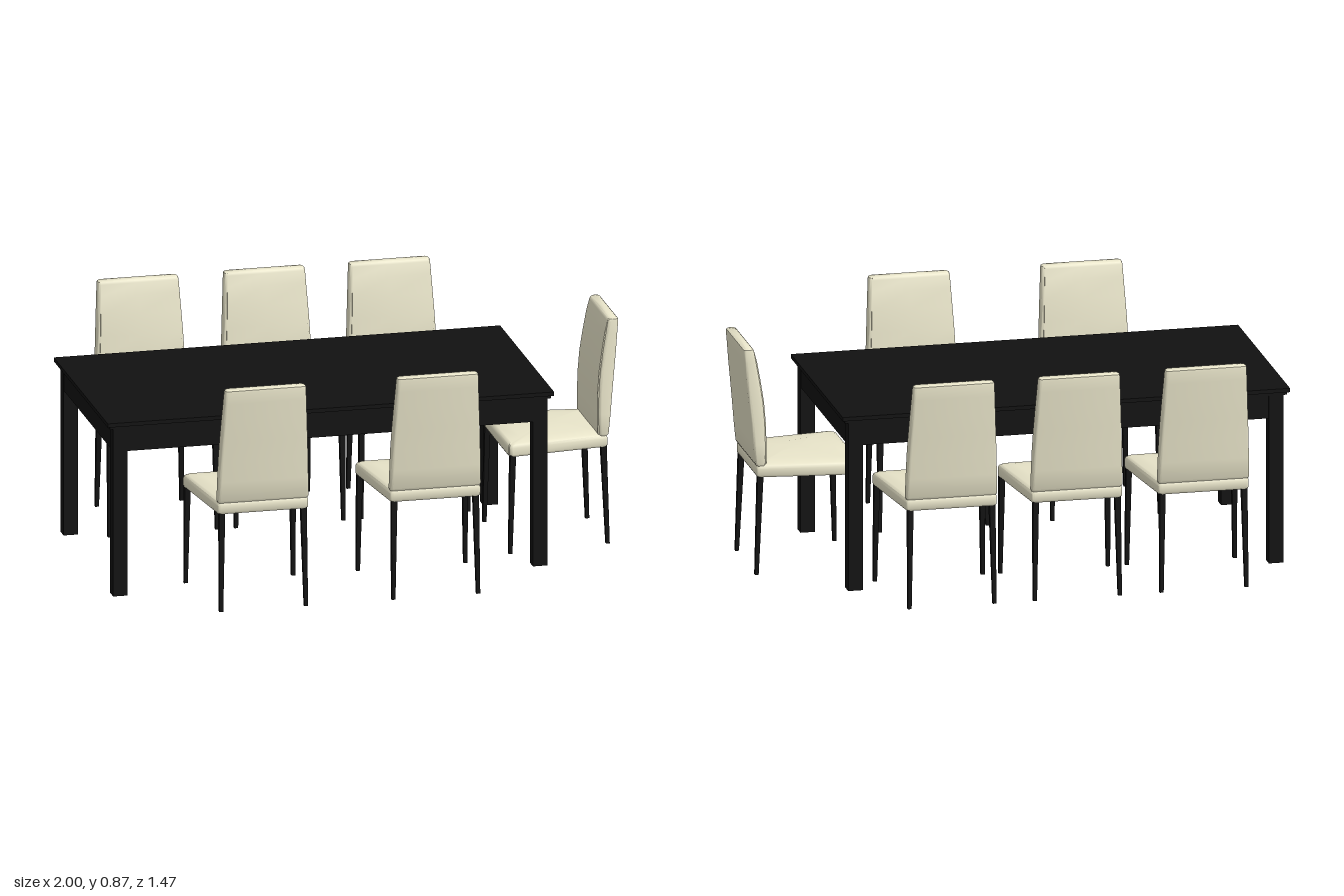
import * as THREE from 'three';
import { toCreasedNormals } from 'three/addons/utils/BufferGeometryUtils.js';

const black = new THREE.MeshStandardMaterial({ color: 0x111111 });
const cream = new THREE.MeshStandardMaterial({ color: 0xe8e4c9 });

function add(parent, name, geometry, material, x = 0, y = 0, z = 0) {
  const mesh = new THREE.Mesh(geometry, material);
  mesh.name = name;
  mesh.position.set(x, y, z);
  parent.add(mesh);
  return mesh;
}

// Skin a stack of horizontal rings (counter-clockwise from above), capped by fans
function loft(rings, crease) {
  const n = rings[0].length, pos = [], index = [];
  rings.forEach(r => r.forEach(p => pos.push(...p)));
  const centre = ring => [0, 1, 2].map(k => ring.reduce((s, p) => s + p[k], 0) / n);
  const last = rings.length - 1, bottom = rings.length * n, top = bottom + 1;
  pos.push(...centre(rings[0]), ...centre(rings[last]));
  for (let i = 0; i < n; i++) {
    const j = (i + 1) % n;
    for (let r = 0; r < last; r++) {
      const a = r * n, b = a + n;
      index.push(a + i, a + j, b + j, a + i, b + j, b + i);
    }
    index.push(bottom, j, i, top, last * n + i, last * n + j);
  }
  const g = new THREE.BufferGeometry();
  g.setAttribute('position', new THREE.Float32BufferAttribute(pos, 3));
  g.setIndex(index);
  return toCreasedNormals(g, crease);
}

// Trapezoid ring with rounded corners; z0 is the rear edge, z1 the front edge
function ring(y, w0, w1, z0, z1, radius, bulge = 0) {
  const points = [];
  const corners = [[w1, z1, -1, 1], [w1, z1, 1, 1], [w0, z0, 1, -1], [w0, z0, -1, -1]];
  corners.forEach(([w, z, sx, sz], k) => {
    for (let s = 0; s <= 3; s++) {
      const a = -Math.PI / 2 + (k - 1 + s / 3) * Math.PI / 2;
      points.push([sx * (w / 2 - radius) + radius * Math.cos(a), y,
        z - sz * radius - radius * Math.sin(a)]);
    }
    if (k === 0) { // softly bowed front edge
      for (const t of [-0.5, 0, 0.5]) {
        points.push([t * (w1 - 2 * radius), y, z1 + bulge * (1 - t * t)]);
      }
    }
  });
  return points;
}

// Square tapered leg between two points
function legGeometry(x0, z0, x1, z1, h) {
  const square = (x, y, z, s) =>
    [[-s, s], [s, s], [s, -s], [-s, -s]].map(([dx, dz]) => [x + dx, y, z + dz]);
  return loft([square(x0, 0, z0, 0.007), square(x1, h, z1, 0.011)], 0.5);
}

// Chair faces +z; its origin is on the floor below the rear edge of the backrest
function createChair() {
  const chair = new THREE.Group();
  chair.name = 'chair';

  // Cushion: height and inset of each ring
  const seat = [[0.375, 0.004], [0.382, 0], [0.408, 0], [0.418, 0.004],
    [0.424, 0.014], [0.43, 0.06], [0.436, 0.12]];
  add(chair, 'seat', loft(seat.map(([y, d]) =>
    ring(y, 0.345 - 2 * d, 0.43 - 2 * d, 0.047 + d, 0.43 - d, 0.012, 0.005)), 0.7), cream);

  // Backrest: height, width, rear z, front z
  const back = [[0.418, 0.34, 0.047, 0.078], [0.426, 0.346, 0.043, 0.08],
    [0.5, 0.34, 0.035, 0.081], [0.58, 0.334, 0.028, 0.079], [0.66, 0.326, 0.02, 0.073],
    [0.74, 0.318, 0.012, 0.061], [0.81, 0.311, 0.006, 0.049], [0.852, 0.307, 0.002, 0.042],
    [0.861, 0.304, 0.003, 0.039], [0.865, 0.294, 0.008, 0.034]];
  add(chair, 'backrest', loft(back.map(([y, w, z0, z1]) =>
    ring(y, w, w, z0, z1, 0.01, y < 0.82 ? 0.006 : 0.001)), 0.7), cream);

  for (const s of [-1, 1]) {
    add(chair, 'frontLeg', legGeometry(s * 0.204, 0.427, s * 0.2, 0.417, 0.38), black);
    add(chair, 'rearLeg', legGeometry(s * 0.161, 0.047, s * 0.155, 0.062, 0.38), black);
  }
  return chair;
}

function createTable() {
  const table = new THREE.Group();
  table.name = 'table';
  const box = (name, w, h, d, x, y, z) =>
    add(table, name, new THREE.BoxGeometry(w, h, d), black, x, y, z);

  box('tableTop', 1.695, 0.015, 0.85, 0, 0.6645, 0);
  box('tableTopLip', 1.675, 0.012, 0.834, 0, 0.652, 0);
  for (const s of [-1, 1]) {
    box('longApron', 1.645, 0.09, 0.025, 0, 0.603, s * 0.4);
    box('endApron', 0.025, 0.09, 0.8, s * 0.81, 0.603, 0);
    for (const t of [-1, 1]) {
      box('tableLeg', 0.055, 0.648, 0.05, s * 0.797, 0.324, t * 0.39);
    }
  }
  return table;
}

export function createModel() {
  const model = new THREE.Group();
  model.name = 'diningSet';
  const table = createTable();
  table.position.x = -0.1525;
  model.add(table);

  // x, z, turn: three behind, two in front, one at the end
  const places = [
    [-0.612, -0.737, 0], [-0.132, -0.737, 0], [0.343, -0.737, 0],
    [-0.473, 0.737, Math.PI], [0.181, 0.737, Math.PI],
    [1, 0.035, -Math.PI / 2],
  ];
  for (const [x, z, turn] of places) {
    const chair = createChair();
    chair.position.set(x, 0, z);
    chair.rotation.y = turn;
    model.add(chair);
  }
  return model;
}
